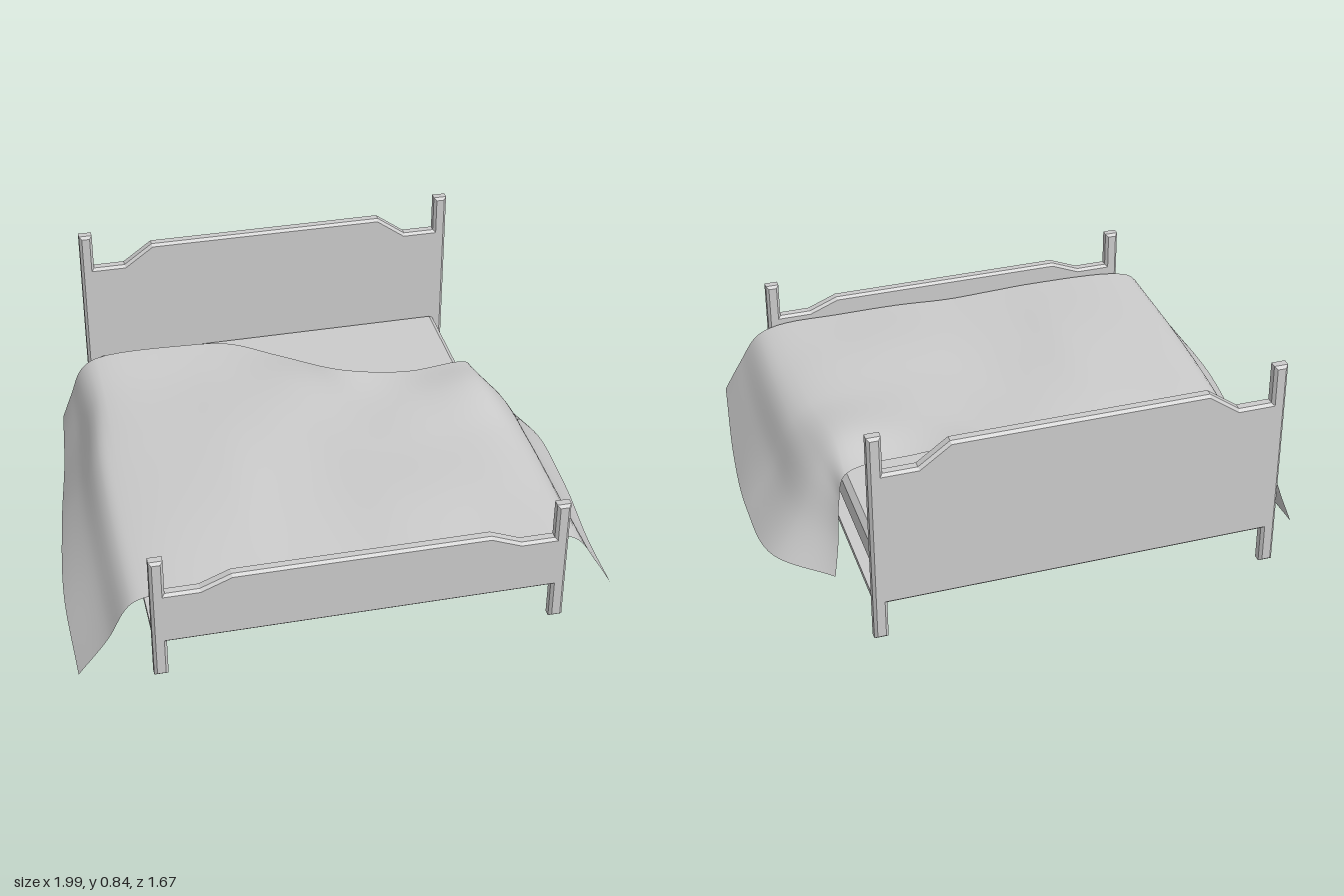
import * as THREE from 'three';

const flat = new THREE.MeshStandardMaterial({ color: 0xcccccc, flatShading: true });
const cloth = new THREE.MeshStandardMaterial({ color: 0xcccccc, side: THREE.DoubleSide });

function add(parent, name, geometry, material = flat) {
  const mesh = new THREE.Mesh(geometry, material);
  mesh.name = name;
  parent.add(mesh);
  return mesh;
}

// Slab with chamfered edges, centred on its depth
function chamferedSlab(points, depth, bevel) {
  const shape = new THREE.Shape(points.map(([x, y]) => new THREE.Vector2(x, y)));
  const geometry = new THREE.ExtrudeGeometry(shape, {
    depth: depth - 2 * bevel, bevelSegments: 1,
    bevelSize: bevel, bevelThickness: bevel, bevelOffset: -bevel,
  });
  return geometry.translate(0, 0, -depth / 2 + bevel);
}

// One bed end: two posts and a shaped panel cut as a single chamfered outline
function bedEndGeometry(postTop, shoulder, crown) {
  const half = [[0.685, 0.165], [0.685, 0.02], [0.735, 0.02], [0.735, postTop],
    [0.685, postTop], [0.685, shoulder], [0.565, shoulder], [0.455, crown]];
  const mirrored = half.map(([x, y]) => [-x, y]).reverse();
  return chamferedSlab([...half, ...mirrored], 0.046, 0.01);
}

// Each column runs from foot to head: z at the head edge, five x values, five heights
const rowFractions = [0, 0.28, 0.57, 0.83, 1];
const columns = [
  [-0.71, [-0.99, -0.99, -0.945, -0.89, -0.86], [0.03, 0.045, 0.04, 0.026, 0.075]],
  [-0.71, [-0.88, -0.88, -0.865, -0.825, -0.82], [0.17, 0.18, 0.16, 0.15, 0.18]],
  [-0.71, [-0.80, -0.80, -0.79, -0.765, -0.775], [0.305, 0.305, 0.3, 0.285, 0.29]],
  [-0.71, [-0.72, -0.72, -0.72, -0.71, -0.71], [0.335, 0.335, 0.33, 0.325, 0.335]],
  [-0.71, [-0.36, -0.36, -0.36, -0.36, -0.36], [0.35, 0.37, 0.365, 0.345, 0.345]],
  [-0.69, [-0.18, -0.18, -0.18, -0.18, -0.18], [0.345, 0.355, 0.365, 0.35, 0.34]],
  [-0.57, [0, 0, 0, 0, 0], [0.34, 0.35, 0.355, 0.365, 0.335]],
  [-0.34, [0.21, 0.21, 0.21, 0.21, 0.21], [0.35, 0.365, 0.36, 0.36, 0.385]],
  [-0.3, [0.45, 0.45, 0.45, 0.45, 0.45], [0.35, 0.365, 0.365, 0.38, 0.37]],
  [-0.33, [0.7, 0.71, 0.71, 0.69, 0.7], [0.345, 0.345, 0.36, 0.395, 0.36]],
  [-0.37, [0.79, 0.8, 0.8, 0.775, 0.735], [0.31, 0.3, 0.305, 0.32, 0.28]],
  [-0.44, [0.865, 0.88, 0.88, 0.865, 0.76], [0.2, 0.16, 0.16, 0.17, 0.16]],
  [-0.5, [0.93, 0.975, 0.998, 0.97, 0.79], [0.09, 0.006, 0.012, 0.035, 0.055]],
];

// Draped sheet interpolated first along the bed, then across it
function blanketGeometry(across, along) {
  const foot = 0.775;
  const curves = columns.map(([head, xs, ys]) => new THREE.CatmullRomCurve3(
    xs.map((x, i) => new THREE.Vector3(x, ys[i], foot + (head - foot) * rowFractions[i]))));
  const geometry = new THREE.PlaneGeometry(1, 1, across, along);
  const position = geometry.attributes.position;
  for (let j = 0; j <= along; j++) {
    const row = new THREE.CatmullRomCurve3(curves.map((c) => c.getPoint(1 - j / along)));
    for (let i = 0; i <= across; i++) {
      const p = row.getPoint(i / across);
      position.setXYZ(j * (across + 1) + i, p.x, p.y, p.z);
    }
  }
  geometry.computeVertexNormals();
  return geometry;
}

export function createModel() {
  const bed = new THREE.Group();
  bed.name = 'bed';

  add(bed, 'headboard', bedEndGeometry(0.84, 0.695, 0.775)).position.z = -0.813;
  add(bed, 'footboard', bedEndGeometry(0.515, 0.375, 0.42)).position.z = 0.808;

  // Platform between the two ends
  add(bed, 'platform', new THREE.BoxGeometry(1.46, 0.02, 1.6)).position.y = 0.175;

  // Mattress with chamfered edges
  const mattress = chamferedSlab(
    [[-0.695, -0.79], [0.695, -0.79], [0.695, 0.79], [-0.695, 0.79]], 0.12, 0.02);
  add(bed, 'mattress', mattress.rotateX(-Math.PI / 2)).position.y = 0.243;

  add(bed, 'blanket', blanketGeometry(72, 40), cloth);
  return bed;
}
